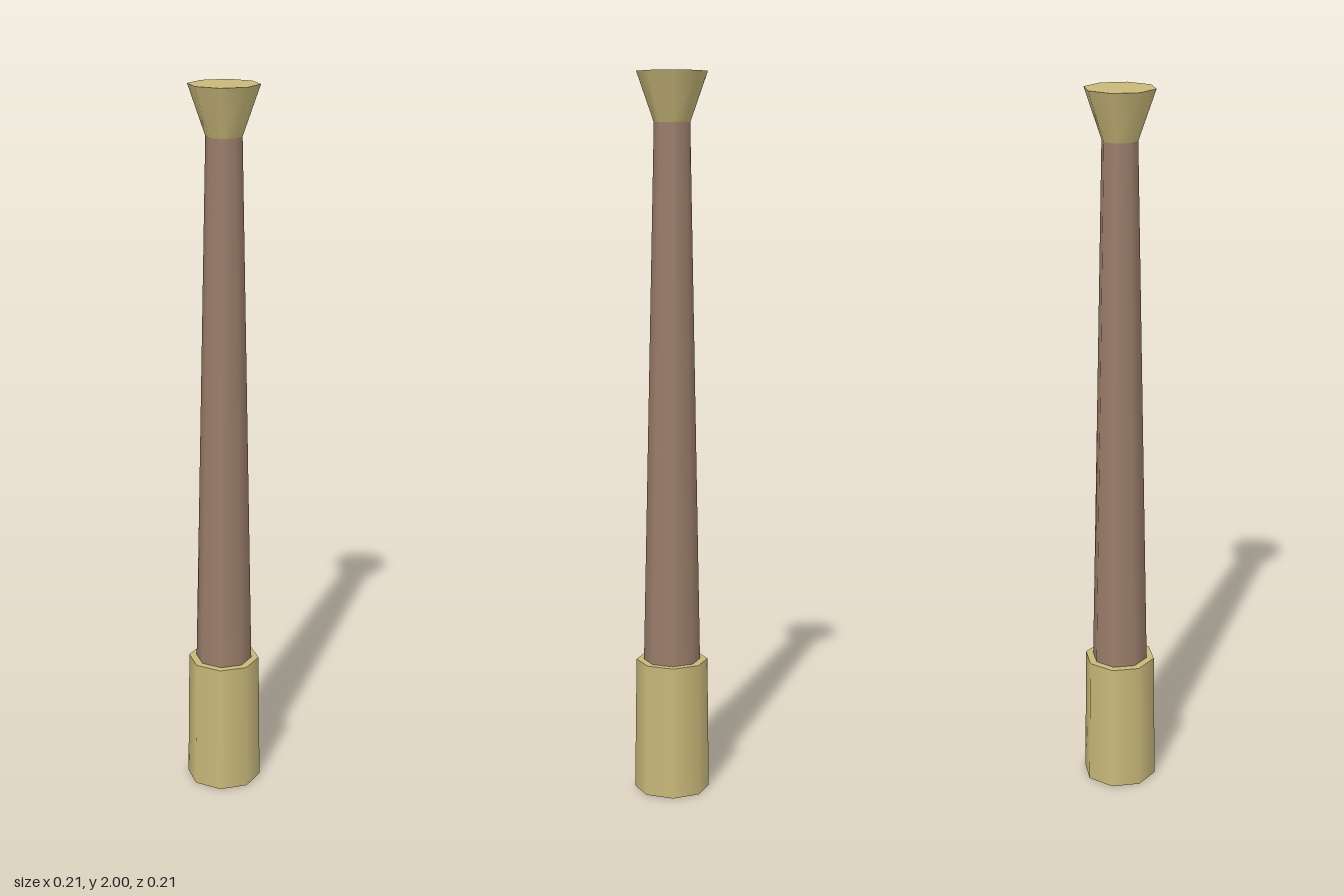
import * as THREE from 'three';

const SIDES = 8;

export function createModel() {
  const brass = new THREE.MeshStandardMaterial({ name: 'paleBrass', color: 0xc8b87a });
  const wood = new THREE.MeshStandardMaterial({ name: 'brownWood', color: 0x9a7d6a });
  const model = new THREE.Group();
  model.name = 'taperedPost';

  // Tapered octagonal section between two heights
  const section = (name, material, bottomRadius, topRadius, y0, y1, open = false) => {
    const geometry = new THREE.CylinderGeometry(topRadius, bottomRadius, y1 - y0, SIDES, 1, open);
    const mesh = new THREE.Mesh(geometry, material);
    mesh.name = name;
    mesh.position.y = (y0 + y1) / 2;
    model.add(mesh);
  };

  section('baseSleeve', brass, 0.105, 0.1, 0, 0.375);
  section('shaft', wood, 0.079, 0.049, 0.375, 1.865, true);
  section('flaredCap', brass, 0.049, 0.096, 1.865, 2);

  return model;
}
